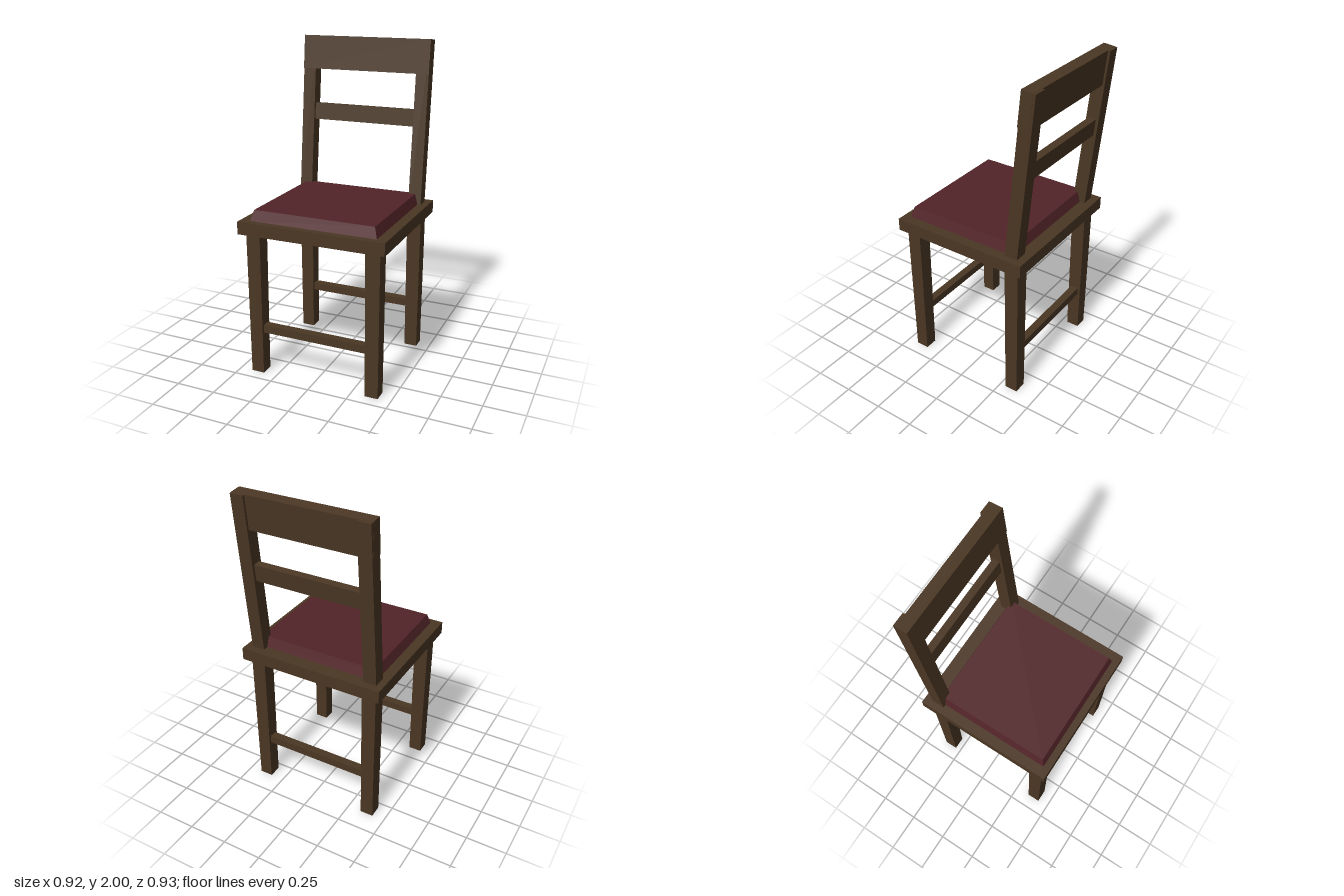
import * as THREE from 'three';

const wood = new THREE.MeshStandardMaterial({ color: 0x4b3724 });
wood.name = 'dark wood';
const fabric = new THREE.MeshStandardMaterial({ color: 0x522428 });
fabric.name = 'burgundy fabric';

// Box from its limits; the inset narrows one end (+1 top, -1 bottom) on every side
function block(name, material, [x0, x1], [y0, y1], [z0, z1], inset = 0, end = 1) {
  const geometry = new THREE.BoxGeometry(x1 - x0, y1 - y0, z1 - z0);
  const p = geometry.attributes.position;
  for (let i = 0; i < p.count; i++) {
    if (Math.sign(p.getY(i)) !== end) continue;
    p.setX(i, p.getX(i) - Math.sign(p.getX(i)) * inset);
    p.setZ(i, p.getZ(i) - Math.sign(p.getZ(i)) * inset);
  }
  geometry.computeVertexNormals();
  const mesh = new THREE.Mesh(geometry, material);
  mesh.position.set((x0 + x1) / 2, (y0 + y1) / 2, (z0 + z1) / 2);
  mesh.name = name;
  return mesh;
}

export function createModel() {
  const chair = new THREE.Group();
  chair.name = 'chair';

  // Seat board and bevelled cushion
  chair.add(
    block('seat', wood, [-0.462, 0.462], [0.91, 0.988], [-0.413, 0.467]),
    block('cushion', fabric, [-0.4, 0.4], [0.985, 1.053], [-0.331, 0.425], 0.02),
  );

  // Slightly tapered legs, with one stretcher per pair
  for (const [side, z] of [['front', 0.387], ['back', -0.329]]) {
    for (const x of [-0.379, 0.379]) {
      chair.add(block(side + 'Leg', wood, [x - 0.045, x + 0.045], [0, 0.92], [z - 0.045, z + 0.045], 0.004, -1));
    }
    chair.add(block(side + 'Stretcher', wood, [-0.36, 0.36], [0.27, 0.32], [z - 0.025, z + 0.025]));
  }

  // Backrest leaning backwards
  const back = new THREE.Group();
  back.name = 'backrest';
  back.position.set(0, 0.98, -0.322);
  back.rotation.x = -0.1;
  for (const x of [-0.379, 0.379]) {
    back.add(block('backPost', wood, [x - 0.041, x + 0.041], [0, 1.02], [-0.041, 0.041]));
  }
  back.add(
    block('topRail', wood, [-0.421, 0.421], [0.812, 1.021], [-0.027, 0.045]),
    block('middleRail', wood, [-0.36, 0.36], [0.488, 0.593], [-0.023, 0.023]),
  );
  chair.add(back);

  return chair;
}
